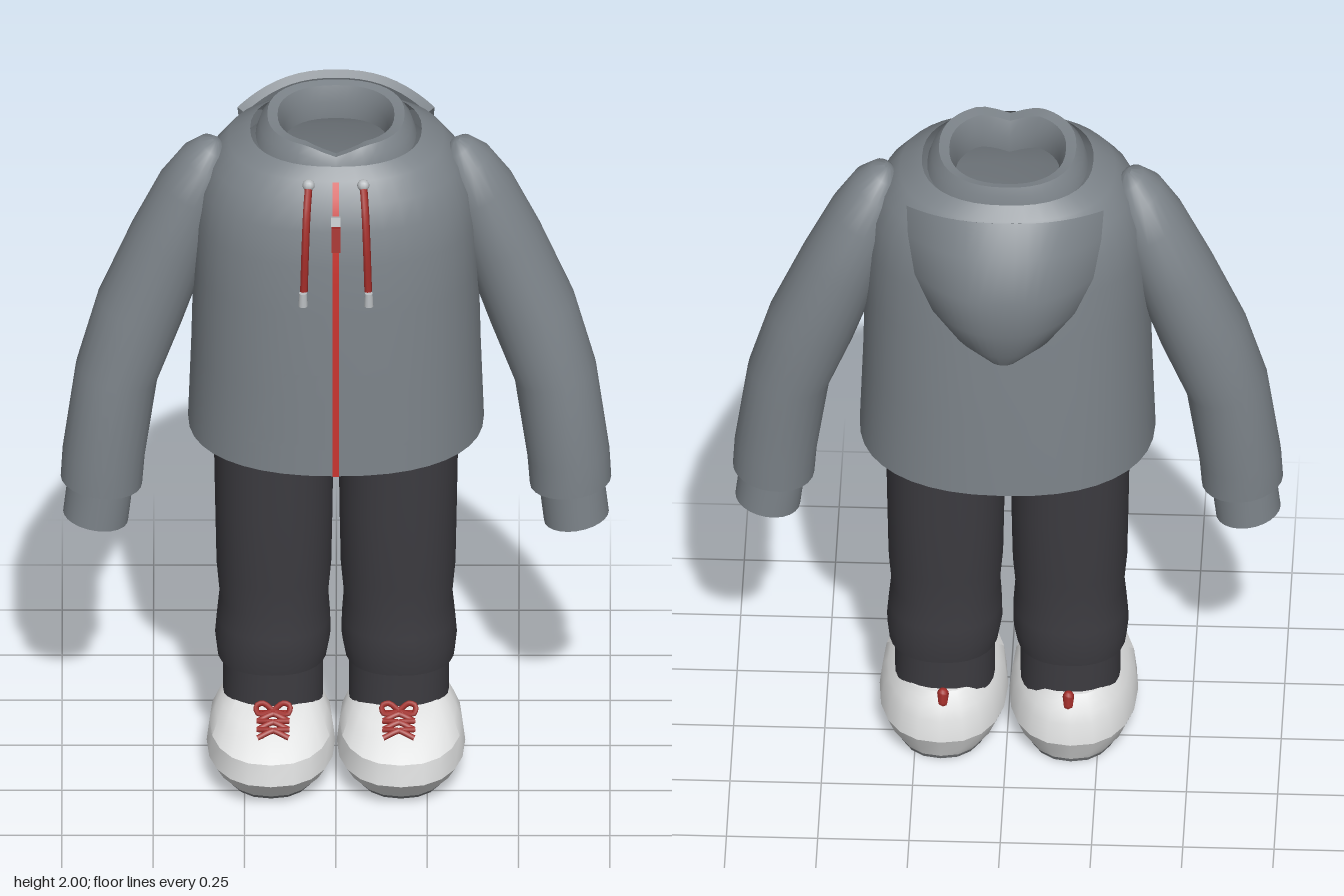
import * as THREE from 'three';
import { toCreasedNormals } from 'three/addons/utils/BufferGeometryUtils.js';

const mat = (name, color, side = THREE.FrontSide) => {
  const m = new THREE.MeshStandardMaterial({ color, side });
  m.name = name;
  return m;
};

// Super-elliptic ring; t tilts it in the xy plane, s = -1 mirrors it to the other side
function ring({ x = 0, y, z = 0, w, d, t = 0, e = 2 }, s = 1, n = 28) {
  const p = v => Math.sign(v) * Math.abs(v) ** (2 / e);
  return Array.from({ length: n }, (_, j) => {
    const a = (j / n) * Math.PI * 2;
    const r = w * p(Math.sin(a * s));
    return [s * (x + r * Math.cos(t)), y + r * Math.sin(t), z + d * p(Math.cos(a))];
  });
}

// Skin over rows of points, listed from bottom to top
function loft(rows, { closed = true, bottom = false, top = false, crease = 0.6 } = {}) {
  const n = rows[0].length, pos = rows.flat(2), idx = [];
  const span = closed ? n : n - 1;
  for (let i = 0; i < rows.length - 1; i++)
    for (let j = 0; j < span; j++) {
      const a = i * n + j, b = i * n + (j + 1) % n;
      idx.push(a, b, b + n, a, b + n, a + n);
    }
  const cap = (i, up) => {
    const c = pos.length / 3;
    for (let k = 0; k < 3; k++) pos.push(rows[i].reduce((sum, p) => sum + p[k], 0) / n);
    for (let j = 0; j < n; j++) {
      const a = i * n + j, b = i * n + (j + 1) % n;
      idx.push(c, up ? a : b, up ? b : a);
    }
  };
  if (bottom) cap(0, false);
  if (top) cap(rows.length - 1, true);
  const g = new THREE.BufferGeometry();
  g.setAttribute('position', new THREE.Float32BufferAttribute(pos, 3));
  g.setIndex(idx);
  return toCreasedNormals(g, crease);
}

// Torso outline: height, half width, front z, back z
const TORSO = [
  [1.055, 0.405, 0.368, -0.32], [1.3, 0.396, 0.362, -0.313], [1.55, 0.39, 0.355, -0.3],
  [1.7, 0.386, 0.345, -0.29], [1.8, 0.372, 0.33, -0.278], [1.87, 0.342, 0.304, -0.255],
  [1.925, 0.295, 0.268, -0.225], [1.955, 0.235, 0.238, -0.19],
];
const COLLAR = [
  [1.94, 0.22, 0.232, -0.183], [1.975, 0.208, 0.225, -0.177], [2.0, 0.188, 0.21, -0.168],
  [1.995, 0.16, 0.18, -0.145], [1.95, 0.142, 0.163, -0.13], [1.9, 0.145, 0.165, -0.13],
];
const HEM = [[1.25, 0.375, 0.345, -0.295], [1.055, 0.385, 0.35, -0.302]];
const bodyRing = ([y, w, f, b]) => ring({ y, w, d: (f - b) / 2, z: (f + b) / 2, e: 2.3 }, 1, 40);

function frontZ(x, y) {
  let i = 0;
  while (i < TORSO.length - 2 && TORSO[i + 1][0] < y) i++;
  const k = (y - TORSO[i][0]) / (TORSO[i + 1][0] - TORSO[i][0]);
  const [w, f, b] = [1, 2, 3].map(c => THREE.MathUtils.lerp(TORSO[i][c], TORSO[i + 1][c], k));
  return (f + b) / 2 + (f - b) / 2 * (1 - Math.abs(x / w) ** 2.3) ** (1 / 2.3);
}

// Thin panel lying on the front of the torso between two slanted sides
function frontPanel(y0, y1, left, right, lift, ny = 12, nx = 6) {
  const { lerp } = THREE.MathUtils;
  return loft(Array.from({ length: ny + 1 }, (_, i) => {
    const v = i / ny, y = lerp(y0, y1, v);
    return Array.from({ length: nx + 1 }, (_, j) => {
      const x = lerp(lerp(left[0], left[1], v), lerp(right[0], right[1], v), j / nx);
      return [x, y, frontZ(x, y) + lift];
    });
  }), { closed: false });
}

export function createModel() {
  const cloth = mat('hoodie grey', 0x7c8389, THREE.DoubleSide);
  const trousers = mat('trouser charcoal', 0x3c3b40, THREE.DoubleSide);
  const white = mat('shoe white', 0xe2e3e3);
  const sole = mat('sole grey', 0x7e8184);
  const red = mat('zip red', 0xc8342f, THREE.DoubleSide);
  const cord = mat('cord red', 0xa02c28);
  const metal = mat('metal grey', 0xb9bdc0);

  const model = new THREE.Group();
  model.name = 'outfit';
  const add = (name, geo, material, pos, rotX = 0, parent = model) => {
    const m = new THREE.Mesh(geo, material);
    m.name = name;
    if (pos) m.position.set(...pos);
    m.rotation.x = rotX;
    parent.add(m);
    return m;
  };
  const tube = (pts, r) => new THREE.TubeGeometry(
    new THREE.CatmullRomCurve3(pts.map(p => new THREE.Vector3(...p))), 14, r, 7);

  // Hoodie body with a turned-in hem, and a collar with a small front notch
  add('hoodieBody', loft([...HEM, ...TORSO].map(bodyRing)), cloth);
  const notch = ([x, y, z]) => [x, z > 0 ? y - 0.03 * Math.max(0, 1 - Math.abs(x) / 0.08) : y, z];
  add('collar', loft(COLLAR.map(r => bodyRing(r).map(notch))), cloth);

  // Hood hanging open on the back: centre y, edge y, half width, centre z, edge z
  const hood = [
    [1.5, 1.515, 0.05, -0.315, -0.295], [1.55, 1.565, 0.125, -0.345, -0.285],
    [1.64, 1.65, 0.195, -0.374, -0.27], [1.76, 1.75, 0.245, -0.386, -0.24],
    [1.88, 1.85, 0.265, -0.345, -0.195], [1.965, 1.92, 0.27, -0.285, -0.155],
    [1.95, 1.905, 0.25, -0.265, -0.15], [1.86, 1.84, 0.24, -0.3, -0.17],
  ].map(([yc, ye, w, zc, ze]) => Array.from({ length: 25 }, (_, j) => {
    const u = -Math.sin((j / 24 - 0.5) * Math.PI), q = Math.abs(u) ** 2.4;
    return [u * w, yc + (ye - yc) * q, zc + (ze - zc) * q];
  }));
  add('hood', loft(hood, { closed: false, crease: 0.9 }), cloth);

  // Zip and its pull
  add('zip', frontPanel(1.056, 1.925, [-0.009, -0.009], [0.009, 0.009], 0.004, 24, 2), red);
  add('zipPull', new THREE.BoxGeometry(0.024, 0.07, 0.014), cord, [0, 1.785, 0.345], -0.2);
  add('zipSlider', new THREE.BoxGeometry(0.026, 0.025, 0.02), metal, [0, 1.835, 0.33], -0.3);

  // Hips
  add('hips', loft([[0.98, 0.32, 0.165], [1.05, 0.334, 0.173], [1.22, 0.33, 0.175]]
    .map(([y, w, d]) => ring({ y, w, d, z: 0.03, e: 2.6 })), { bottom: true, top: true }), trousers);

  for (const s of [1, -1]) {
    const side = s > 0 ? 'left' : 'right';

    // Sleeve, listed from wrist to shoulder
    add(side + 'Sleeve', loft([
      [0.643, 0.862, 0.05, 0.085, 0.088, 0.1], [0.642, 0.862, 0.042, 0.112, 0.113, 0.1],
      [0.636, 0.95, 0.04, 0.113, 0.117, 0.12], [0.6, 1.2, 0.03, 0.114, 0.12, 0.2],
      [0.537, 1.39, 0.015, 0.122, 0.122, 0.3], [0.455, 1.6, 0.01, 0.113, 0.12, 0.37],
      [0.39, 1.76, 0.012, 0.1, 0.113, 0.42], [0.355, 1.85, 0.02, 0.075, 0.09, 0.48],
      [0.335, 1.9, 0.022, 0.042, 0.055, 0.5], [0.327, 1.92, 0.023, 0.012, 0.016, 0.5],
    ].map(([x, y, z, w, d, t]) => ring({ x, y, z, w, d, t }, s, 24)), { top: true }), cloth);
    add(side + 'SleeveCuff', loft([
      [0.645, 0.85, 0.078], [0.658, 0.752, 0.08], [0.658, 0.752, 0.09], [0.643, 0.88, 0.09],
    ].map(([x, y, r]) => ring({ x, y, z: 0.048, w: r, d: r, t: 0.16 }, s, 24))), cloth);

    // Front pocket
    const a = s * 0.03, outer = [s * 0.24, s * 0.14];
    add(side + 'Pocket', s > 0 ? frontPanel(1.14, 1.37, [a, a], outer, 0.008)
      : frontPanel(1.14, 1.37, outer, [a, a], 0.008), cloth);

    // Drawstring with eyelet and tip
    add(side + 'Drawstring', tube([[s * 0.075, 1.915, 0.277], [s * 0.08, 1.86, 0.325],
      [s * 0.084, 1.77, 0.357], [s * 0.088, 1.64, 0.373]], 0.011), cord);
    add(side + 'DrawstringTip', new THREE.CylinderGeometry(0.011, 0.013, 0.04, 10), metal,
      [s * 0.09, 1.615, 0.374]);
    add(side + 'Eyelet', new THREE.SphereGeometry(0.017, 10, 8), metal, [s * 0.075, 1.918, 0.275]);

    // Trouser leg and ankle cuff
    add(side + 'TrouserLeg', loft([
      [0.325, 0.175, 0.13, 0.132], [0.326, 0.175, 0.15, 0.156], [0.38, 0.173, 0.158, 0.164],
      [0.44, 0.171, 0.155, 0.162], [0.51, 0.17, 0.149, 0.157], [0.6, 0.17, 0.157, 0.163],
      [0.8, 0.17, 0.161, 0.169], [1.08, 0.172, 0.164, 0.173],
    ].map(([y, x, w, d]) => ring({ x, y, z: 0.033, w, d, e: 2.3 }, s))), trousers);
    add(side + 'AnkleCuff', loft([0.19, 0.33].map(y =>
      ring({ x: 0.172, y, z: 0.036, w: 0.137, d: 0.138, e: 2.3 }, s))), trousers);

    // Shoe: height, front z, back z, half width
    const shoeRing = ([y, f, b, w]) =>
      ring({ x: 0.178, y, z: (f + b) / 2, d: (f - b) / 2, w, e: 2.3 }, s, 20);
    const shoe = new THREE.Group();
    shoe.name = side + 'Shoe';
    model.add(shoe);
    add('sole', loft([[0, 0.295, -0.125, 0.128], [0.012, 0.305, -0.13, 0.135]].map(shoeRing),
      { bottom: true }), sole, null, 0, shoe);
    add('upper', loft([
      [0.012, 0.305, -0.13, 0.135], [0.035, 0.33, -0.14, 0.155], [0.08, 0.374, -0.16, 0.176],
      [0.145, 0.368, -0.152, 0.168], [0.175, 0.315, -0.14, 0.152], [0.2, 0.255, -0.128, 0.135],
      [0.222, 0.19, -0.115, 0.115],
    ].map(shoeRing), { top: true, crease: 0.5 }), white, null, 0, shoe);

    // Crossed laces, bow and heel tab
    const cx = s * 0.172;
    for (let k = 0; k < 3; k++)
      for (const q of [1, -1]) {
        const z0 = 0.205 + k * 0.028, z1 = z0 + 0.028, h = z => 0.298 - 0.385 * z;
        add('lace', tube([[cx - q * 0.043, h(z0), z0], [cx, h((z0 + z1) / 2) + 0.01, (z0 + z1) / 2],
          [cx + q * 0.043, h(z1), z1]], 0.008), cord, null, 0, shoe);
      }
    for (const q of [1, -1])
      add('bowLoop', tube([[cx, 0.228, 0.21], [cx + q * 0.028, 0.246, 0.2],
        [cx + q * 0.046, 0.24, 0.205], [cx + q * 0.04, 0.222, 0.218], [cx, 0.228, 0.212]], 0.008),
      cord, null, 0, shoe);
    add('heelTab', new THREE.CapsuleGeometry(0.016, 0.024, 4, 8), cord, [cx, 0.205, -0.118], 0.2, shoe);
  }
  return model;
}
